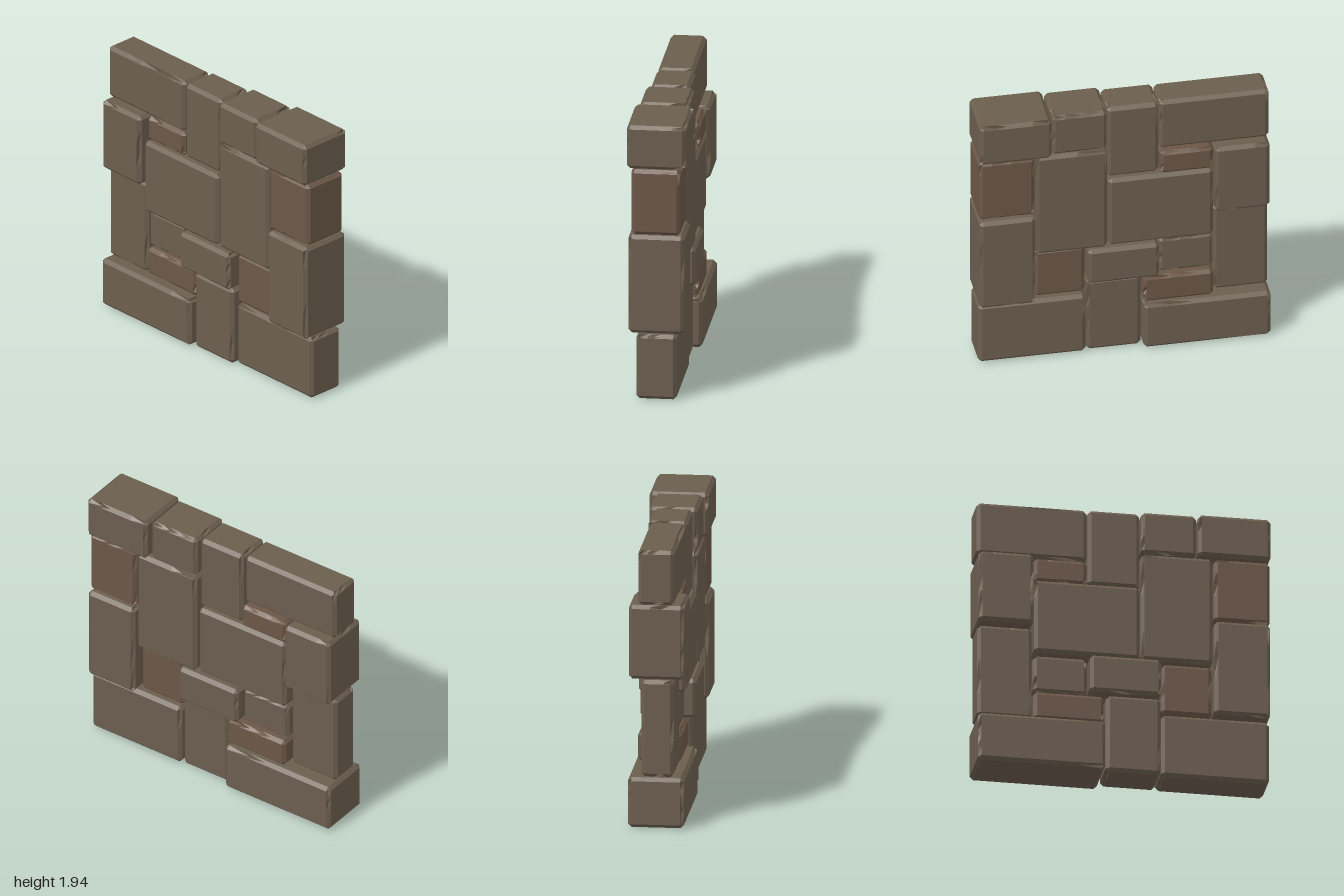
import * as THREE from 'three';

const BEVEL = 0.024;
const CUTS = [0.24, 0.41, 0.63, 0.8];

// Repeatable 0..1 value for a point, so vertices shared by faces move together
function hash(...v) {
  const s = Math.sin(v.reduce((sum, n, i) => sum + n * [12.99, 78.23, 37.72, 51.37][i], 0)) * 43758.5453;
  return s - Math.floor(s);
}

// Chamfered block with chipped edges: a gridded box whose edge vertices are pulled inwards
function stoneGeometry(size, seed) {
  const segments = CUTS.length + 3;
  const geometry = new THREE.BoxGeometry(1, 1, 1, segments, segments, segments);
  const pos = geometry.attributes.position;
  for (let i = 0; i < pos.count; i++) {
    const grid = [0, 1, 2].map(a => Math.round((pos.getComponent(i, a) + 0.5) * segments));
    const outer = grid.map(g => g === 0 || g === segments);
    const count = outer.filter(Boolean).length;
    // A few places along each edge are chipped deeper than the even chamfer
    const h = hash(...grid, seed);
    const chip = count === 2 && h > 0.8 ? (h - 0.8) * 4 * BEVEL : 0;
    const pull = [0, 0, BEVEL / 2 + chip, BEVEL * 0.67][count];
    for (let a = 0; a < 3; a++) {
      const half = size[a] / 2, g = grid[a];
      let p;
      if (outer[a]) p = half - pull;
      else if (g === 1 || g === segments - 1) p = half - BEVEL;
      else p = (CUTS[g - 2] - 0.5) * (size[a] - 2 * BEVEL);
      const sign = g < segments / 2 ? -1 : 1;
      pos.setComponent(i, a, outer[a] || g === 1 || g === segments - 1 ? sign * p : p);
    }
  }
  geometry.computeVertexNormals();
  return geometry;
}

export function createModel() {
  const wall = new THREE.Group();
  wall.name = 'stoneWall';
  const greyBrown = new THREE.MeshStandardMaterial({ color: 0x6b5e4e, flatShading: true });
  const redBrown = new THREE.MeshStandardMaterial({ color: 0x6c5747, flatShading: true });

  // Each stone: name, x range, y range, z range, reddish
  const stones = [
    // top course
    ['topFrontStone', -0.2, 0.2, 1.635, 1.94, 0.505, 1],
    ['topSecondStone', -0.17, 0.16, 1.635, 1.94, 0.12, 0.495],
    ['topUprightStone', -0.14, 0.125, 1.385, 1.94, -0.24, 0.113],
    ['topBackStone', -0.135, 0.11, 1.56, 1.94, -1, -0.248],
    // middle courses
    ['frontUpperStone', -0.17, 0.165, 1.17, 1.63, 0.617, 1, true],
    ['tallStone', -0.168, 0.165, 0.845, 1.63, 0.118, 0.609],
    ['centreStone', -0.17, 0.15, 0.845, 1.378, -0.612, 0.11],
    ['smallFillerStone', -0.14, 0.15, 1.38, 1.555, -0.612, -0.248, true],
    ['backUpperStone', -0.2, 0.175, 1.04, 1.555, -0.995, -0.62],
    ['backLowerStone', -0.13, 0.09, 0.36, 1.033, -0.995, -0.62],
    ['frontMiddleStone', -0.19, 0.19, 0.47, 1.163, 0.617, 1],
    ['innerRedStone', -0.13, 0.11, 0.47, 0.84, 0.262, 0.609, true],
    ['protrudingStone', -0.2, 0.18, 0.57, 0.84, -0.235, 0.254],
    ['innerSmallStone', -0.12, 0.12, 0.57, 0.84, -0.612, -0.242],
    ['lowRedStone', -0.14, 0.155, 0.36, 0.563, -0.612, -0.13, true],
    // bottom course
    ['bottomFrontStone', -0.135, 0.14, 0.005, 0.462, 0.262, 1],
    ['bottomUprightStone', -0.165, 0.12, 0, 0.563, -0.12, 0.254],
    ['bottomBackStone', -0.2, 0.18, 0.005, 0.353, -1, -0.13],
  ];

  stones.forEach(([name, x0, x1, y0, y1, z0, z1, red], i) => {
    const mesh = new THREE.Mesh(stoneGeometry([x1 - x0, y1 - y0, z1 - z0], i + 1), red ? redBrown : greyBrown);
    mesh.name = name;
    mesh.position.set((x0 + x1) / 2, (y0 + y1) / 2, (z0 + z1) / 2);
    wall.add(mesh);
  });
  return wall;
}
